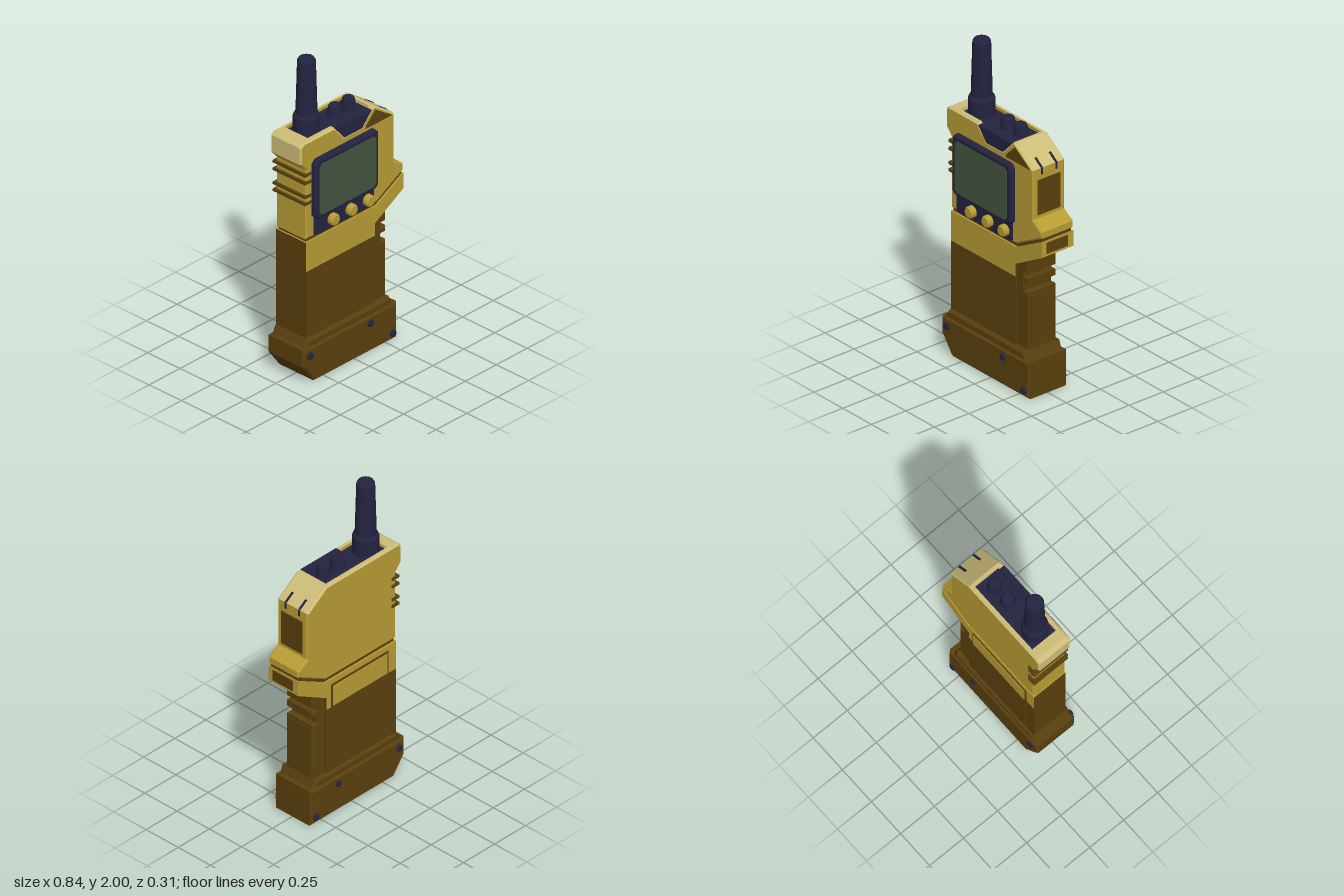
import * as THREE from 'three';

const material = (name, color) => Object.assign(new THREE.MeshStandardMaterial({ color }), { name });
const yellow = material('yellow', 0xb89c34);
const pale = material('paleYellow', 0xcdbd78);
const brown = material('brown', 0x5a400e);
const navy = material('navy', 0x232340);
const green = material('screenGreen', 0x445440);

// Moves every edge of a counter-clockwise outline inwards by d.
function inset(points, d) {
  const n = points.length;
  const normal = (a, b) => {
    const l = Math.hypot(b[0] - a[0], b[1] - a[1]);
    return [-(b[1] - a[1]) / l, (b[0] - a[0]) / l];
  };
  return points.map((p, i) => {
    const u = normal(points[(i + n - 1) % n], p), v = normal(p, points[(i + 1) % n]);
    const k = d / (1 + u[0] * v[0] + u[1] * v[1]);
    return [p[0] + (u[0] + v[0]) * k, p[1] + (u[1] + v[1]) * k];
  });
}

// Prism through layers of [z, inset]; paint(x, y) picks the material index of each side edge.
function prism(points, layers, paint = () => 0) {
  const buckets = [[], [], []];
  const rings = layers.map(([z, d]) => inset(points, d).map(([x, y]) => [x, y, z]));
  const last = rings[rings.length - 1];
  const faces = THREE.ShapeUtils.triangulateShape(points.map((p) => new THREE.Vector2(...p)), []);
  for (const [a, b, c] of faces) {
    buckets[0].push(...rings[0][c], ...rings[0][b], ...rings[0][a]);
    buckets[0].push(...last[a], ...last[b], ...last[c]);
  }
  points.forEach((p, i) => {
    const j = (i + 1) % points.length, q = points[j];
    const bucket = buckets[paint((p[0] + q[0]) / 2, (p[1] + q[1]) / 2)];
    for (let k = 0; k + 1 < rings.length; k++) {
      const lo = rings[k], hi = rings[k + 1];
      bucket.push(...lo[i], ...lo[j], ...hi[j], ...lo[i], ...hi[j], ...hi[i]);
    }
  });
  const geometry = new THREE.BufferGeometry();
  geometry.setAttribute('position', new THREE.Float32BufferAttribute(buckets.flat(), 3));
  let start = 0;
  buckets.forEach((b, i) => {
    if (b.length) geometry.addGroup(start, b.length / 3, i);
    start += b.length / 3;
  });
  geometry.computeVertexNormals();
  return geometry;
}

const bevelled = (z0, z1, c) => [[z0, c], [z0 + c, 0], [z1 - c, 0], [z1, c]];
const flat = (z0, z1) => [[z0, 0], [z1, 0]];
// Rectangle with cut corners
const cutRect = (x0, x1, y0, y1, c) => [
  [x0 + c, y0], [x1 - c, y0], [x1, y0 + c], [x1, y1 - c],
  [x1 - c, y1], [x0 + c, y1], [x0, y1 - c], [x0, y0 + c]];

export function createModel() {
  const model = new THREE.Group();
  const paints = [yellow, pale, brown];
  const add = (name, geometry, mat) => {
    const mesh = new THREE.Mesh(geometry, mat);
    mesh.name = name;
    model.add(mesh);
    return mesh;
  };
  const box = (name, mat, x0, x1, y0, y1, z0, z1) => {
    const mesh = add(name, new THREE.BoxGeometry(x1 - x0, y1 - y0, z1 - z0), mat);
    mesh.position.set((x0 + x1) / 2, (y0 + y1) / 2, (z0 + z1) / 2);
    return mesh;
  };
  // Lathed part standing upright, profile as [radius, y]
  const turned = (name, mat, profile, x, z, sides = 32) => {
    const pts = profile.map(([r, y]) => new THREE.Vector2(r, y));
    let g = new THREE.LatheGeometry(pts, sides).toNonIndexed();
    g.computeVertexNormals();
    const mesh = add(name, g, mat);
    mesh.position.set(x, 0, z);
    return mesh;
  };

  // Base with sloping collar
  add('base', prism([[-0.33, 0], [0.34, 0], [0.34, 0.23], [-0.42, 0.23], [-0.42, 0.12]],
    bevelled(-0.143, 0.14, 0.012)), brown);
  add('baseCollar', prism([[-0.4, 0.22], [0.315, 0.22], [0.29, 0.28], [-0.37, 0.28]],
    bevelled(-0.134, 0.132, 0.015)), brown);
  for (const [x, y] of [[-0.37, 0.18], [0.12, 0.185], [0.3, 0.045]]) {
    for (const s of [1, -1]) {
      const bolt = add('bolt', new THREE.CylinderGeometry(0.017, 0.025, 0.02, 16), navy);
      bolt.rotation.x = s * Math.PI / 2;
      bolt.position.set(x, y, s * 0.145);
    }
  }

  // Handle and grip strip with notches
  box('handle', brown, -0.37, 0.19, 0.26, 0.71, -0.12, 0.11);
  add('gripStrip', prism([[0.18, 0.27], [0.29, 0.27], [0.29, 0.64], [0.25, 0.64], [0.25, 0.69],
    [0.29, 0.69], [0.29, 0.73], [0.25, 0.73], [0.25, 0.76], [0.29, 0.76], [0.29, 0.86], [0.18, 0.8]],
    bevelled(-0.105, 0.098, 0.008)), brown);
  box('gripPlate', brown, 0.287, 0.296, 0.3, 0.62, -0.085, 0.08);

  // Neck flaring out to the side
  add('neck', prism([[-0.37, 0.71], [0.19, 0.71], [0.19, 0.79], [0.42, 0.92], [0.42, 1.02],
    [0.2, 0.9], [-0.37, 0.9]], flat(-0.12, 0.11),
    (x, y) => (x < -0.3 || (x > 0.18 && y < 0.9) ? 2 : 0)), paints);
  box('neckEndPlate', brown, 0.415, 0.422, 0.935, 1.005, -0.08, 0.075);
  add('joint', prism([[-0.36, 0.89], [0.2, 0.89], [0.41, 1.005], [0.41, 1.04], [0.2, 0.93], [-0.36, 0.93]],
    flat(-0.11, 0.1)), brown);

  // Back cover
  box('backCoverFrame', brown, -0.305, 0.155, 0.31, 0.865, -0.125, -0.118);
  box('backCoverLower', brown, -0.293, 0.143, 0.322, 0.72, -0.129, -0.122);
  box('backCoverUpper', yellow, -0.293, 0.143, 0.72, 0.853, -0.129, -0.122);

  // Upper housing in three slices, with a well cut in the top
  const housing = (notch) => [[-0.37, 0.92], [0.2, 0.92], [0.42, 1.04], [0.42, 1.08], [0.345, 1.13],
    [0.345, 1.44], [0.19, 1.55], ...notch, [-0.39, 1.55], [-0.415, 1.53], [-0.415, 1.42], [-0.37, 1.37]];
  const upperPaint = (x, y) => (y > 1.43 ? 1 : 0);
  const flap = [[0.17, 1.55], [0.08, 1.46], [-0.06, 1.46], [-0.14, 1.55]];
  add('housingBack', prism(housing([]), [[-0.122, 0.01], [-0.112, 0], [-0.095, 0]], upperPaint), paints);
  add('housingMiddle', prism(housing([[0.17, 1.55], [0.17, 1.5], [-0.325, 1.5], [-0.325, 1.55]]),
    flat(-0.095, 0.08), upperPaint), paints);
  add('housingFront', prism(housing(flap), [[0.08, 0], [0.102, 0], [0.112, 0.01]], upperPaint), paints);
  box('topPlate', navy, -0.325, 0.17, 1.49, 1.53, -0.095, 0.08);
  add('topFlap', prism([[-0.06, 1.455], [0.08, 1.455], [0.16, 1.54], [-0.13, 1.54]],
    flat(0.075, 0.114)), navy);

  // Dark corner recess and side panel
  add('cornerRecess', prism([[0.11, 1.437], [0.325, 1.437], [0.19, 1.528], [0.12, 1.46]],
    flat(0.107, 0.114)), brown);
  box('sidePanel', brown, 0.34, 0.348, 1.15, 1.37, -0.085, 0.08);
  for (const z of [-0.058, 0.047]) {
    const slot = box('slot', navy, -0.035, 0.035, -0.003, 0.003, z - 0.007, z + 0.007);
    slot.position.set(0.316, 1.461, z);
    slot.rotation.z = -Math.atan2(0.11, 0.155);
    box('slotEnd', navy, 0.342, 0.348, 1.4, 1.44, z - 0.007, z + 0.007);
  }

  // Ribs wrapping the right edge
  for (const y of [1.34, 1.29, 1.2, 1.155]) {
    box('rib', brown, -0.385, -0.33, y - 0.008, y + 0.008, -0.132, 0.118);
  }

  // Screen, bezel and buttons
  add('screenBezel', prism(cutRect(-0.327, 0.19, 1.035, 1.42, 0.025), bevelled(0.1, 0.145, 0.012)), navy);
  add('screen', prism(cutRect(-0.295, 0.16, 1.06, 1.388, 0.02), flat(0.141, 0.148)), green);
  add('buttonPanel', prism(cutRect(-0.31, 0.17, 0.925, 1.05, 0.01), flat(0.1, 0.12)), navy);
  for (const x of [-0.17, -0.025, 0.115]) {
    const button = turned('button', yellow, [[0.036, 0.11], [0.036, 0.145], [0.028, 0.155], [0, 0.155]], x, 0, 20);
    button.rotation.x = Math.PI / 2;
    button.position.y = 0.98;
  }

  // Antenna and knobs
  turned('antenna', navy, [[0.077, 1.5], [0.077, 1.63], [0.07, 1.645], [0.062, 1.65], [0.053, 1.985],
    [0.045, 2], [0, 2]], -0.243, -0.007);
  for (const x of [-0.013, 0.097]) {
    turned('knob', navy, [[0.046, 1.52], [0.044, 1.545], [0.036, 1.595], [0.03, 1.603], [0, 1.603]], x, -0.008, 24);
  }
  return model;
}
